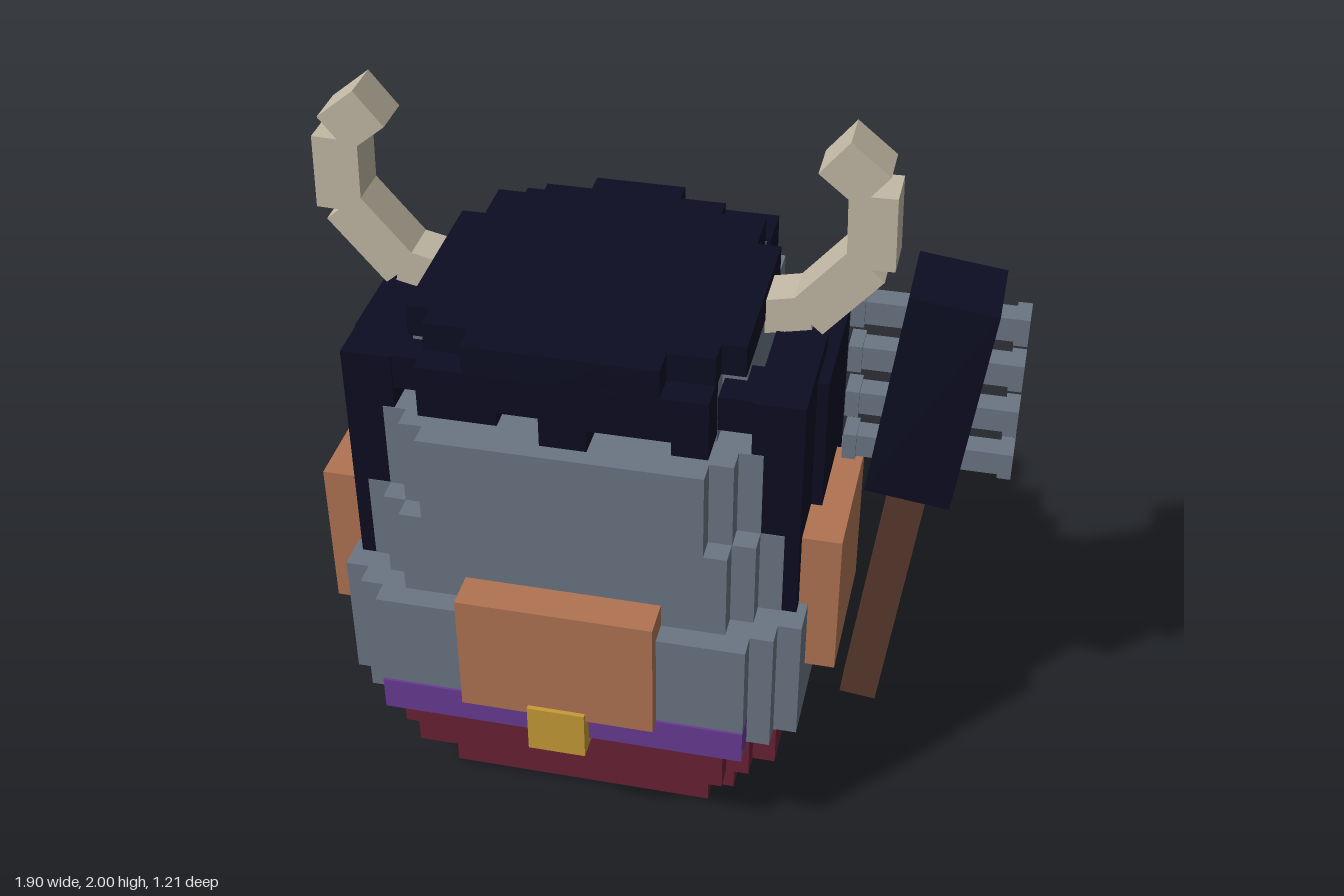
import * as THREE from 'three';

const mat = (name, color) => {
  const m = new THREE.MeshStandardMaterial({ color });
  m.name = name;
  return m;
};

export function createModel() {
  const grey = mat('slateGrey', 0x6b7683);
  const dark = mat('midnight', 0x0c0d22);
  const red = mat('maroon', 0x692235);
  const tan = mat('tan', 0xb07452);
  const wood = mat('wood', 0x59392c);
  const purple = mat('purple', 0x683a94);
  const gold = mat('gold', 0xc79b37);
  const bone = mat('bone', 0xc2b9a5);

  const root = new THREE.Group();
  const CX = -0.175, CZ = -0.02, STEP = 0.064;

  const group = (name, parent = root) => {
    const g = new THREE.Group();
    g.name = name;
    parent.add(g);
    return g;
  };
  // Box given by its extents
  const box = (parent, name, m, x0, x1, y0, y1, z0, z1) => {
    const mesh = new THREE.Mesh(new THREE.BoxGeometry(x1 - x0, y1 - y0, z1 - z0), m);
    mesh.position.set((x0 + x1) / 2, (y0 + y1) / 2, (z0 + z1) / 2);
    mesh.name = name;
    parent.add(mesh);
    return mesh;
  };
  // Layer whose corners are notched in equal steps
  const layer = (name, m, hx, hz, y0, y1, steps) => {
    const g = group(name);
    for (let i = 0; i < steps; i++) {
      const a = hx - i * STEP, b = hz - (steps - 1 - i) * STEP;
      box(g, name + 'Slab', m, CX - a, CX + a, y0, y1, CZ - b, CZ + b);
    }
  };

  // Body, from the ground up
  layer('base', red, 0.443, 0.38, 0, 0.2, 2);
  layer('lowerBand', red, 0.57, 0.507, 0.195, 0.32, 3);
  layer('waist', grey, 0.57, 0.507, 0.32, 0.39, 3);
  layer('belly', grey, 0.635, 0.57, 0.385, 0.765, 3);
  layer('chest', grey, 0.57, 0.507, 0.765, 1.02, 3);
  layer('shoulders', grey, 0.507, 0.507, 1.02, 1.272, 3);
  layer('crown', grey, 0.443, 0.345, 1.27, 1.465, 2);

  // Belt and patches
  box(root, 'belt', purple, -0.682, 0.332, 0.377, 0.477, 0.48, 0.557);
  box(root, 'buckle', gold, -0.255, -0.095, 0.352, 0.5, 0.53, 0.605);
  box(root, 'frontPatch', tan, -0.443, 0.093, 0.472, 0.835, 0.46, 0.592);

  // Hair cap: overlapping slabs form a rounded outline
  const cap = group('hairCap');
  [[0.445, -0.205, 0.29, 1.46], [0.38, -0.34, 0.36, 1.46],
    [0.255, -0.4, 0.44, 1.41], [0.127, -0.463, 0.44, 1.41]].forEach(([h, z0, z1, y]) =>
    box(cap, 'capSlab', dark, CX - h, CX + h, y, 1.55, z0, z1));

  // Uneven fringe locks: x start, x end, lower edge
  const fringe = group('fringe');
  [[-0.555, -0.345, 1.32], [-0.345, -0.235, 1.36], [-0.235, -0.11, 1.275],
    [-0.11, 0.11, 1.34], [0.11, 0.205, 1.3]].forEach(([x0, x1, y]) =>
    box(fringe, 'lock', dark, x0, x1, y, 1.47, 0.33, 0.442));

  // Hair at the back
  box(root, 'backHair', dark, -0.55, 0.2, 0.765, 1.412, -0.6, -0.465);

  // Side hair and side patches
  for (const s of [-1, 1]) {
    const g = group(s > 0 ? 'leftSide' : 'rightSide');
    const sided = (name, m, a, b, ...yz) =>
      box(g, name, m, Math.min(CX + s * a, CX + s * b), Math.max(CX + s * a, CX + s * b), ...yz);
    sided('sideHairRear', dark, 0.505, 0.64, 0.745, 1.385, -0.21, 0.17);
    sided('sideHairFront', dark, 0.475, 0.61, 0.765, 1.43, 0, 0.357);
    sided('temple', dark, 0.385, 0.53, 1.33, 1.43, 0.19, 0.35);
    sided('sidePatch', tan, 0.52, 0.717, 0.55, 0.99, -0.1, 0.318);
  }

  // Horns: offset from centre, height, size along, size across, tilt
  for (const s of [-1, 1]) {
    const g = group(s > 0 ? 'leftHorn' : 'rightHorn');
    [[0.455, 1.472, 0.21, 0.1, 0.22], [0.625, 1.566, 0.235, 0.125, 0.867],
      [0.708, 1.752, 0.21, 0.125, 1.6], [0.655, 1.912, 0.135, 0.122, 2.46]].forEach(([x, y, l, w, a]) => {
      const m = new THREE.Mesh(new THREE.BoxGeometry(l, w, 0.125), bone);
      m.name = 'hornSegment';
      m.position.set(CX + s * x, y, -0.042);
      m.rotation.z = s * a;
      g.add(m);
    });
  }

  // Leaning spiked club
  const club = group('club');
  const shaft = group('clubShaft', club);
  shaft.position.set(0.72, 1.288, -0.038);
  shaft.rotation.z = -0.122;
  box(shaft, 'handle', wood, -0.053, 0.053, -1.122, -0.2, -0.053, 0.053);
  box(shaft, 'clubHead', dark, -0.117, 0.117, -0.315, 0.315, -0.117, 0.117);
  for (const y of [1.502, 1.36, 1.215, 1.073]) {
    box(club, 'spikeRod', grey, 0.515, 0.92, y - 0.034, y + 0.034, -0.07, -0.004);
    box(club, 'spikeTip', grey, 0.49, 0.527, y - 0.04, y + 0.04, -0.08, 0.005);
    box(club, 'spikeTip', grey, 0.911, 0.948, y - 0.04, y + 0.04, -0.08, 0.005);
  }

  return root;
}
